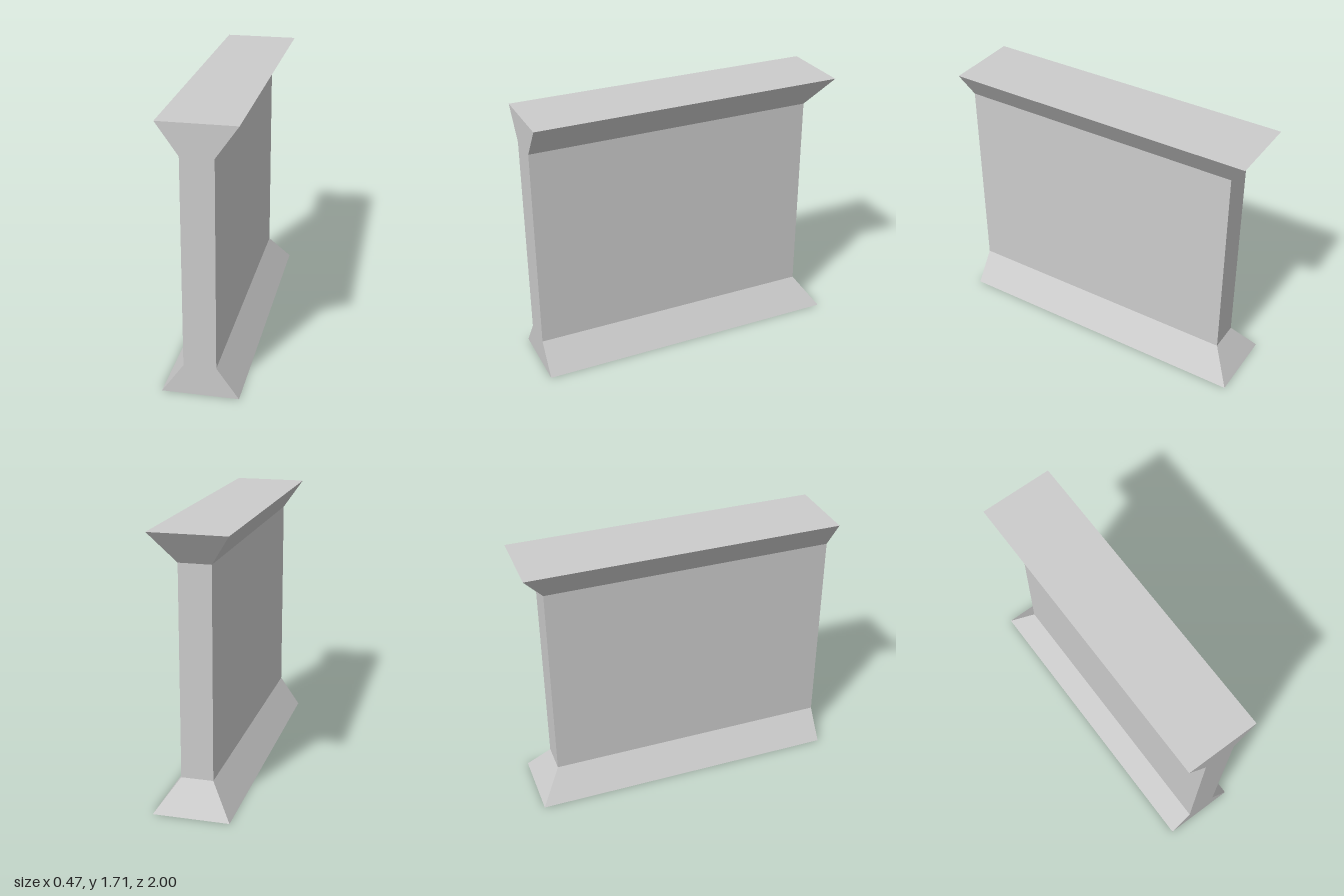
import * as THREE from 'three';

// Horizontal rings from bottom to top: height, half width, back edge z
const RINGS = [
  { y: 0, half: 0.237, back: -1 },
  { y: 0.195, half: 0.1, back: -0.862 },
  { y: 1.515, half: 0.1, back: -0.862 },
  { y: 1.71, half: 0.237, back: -1 },
];
const FRONT = 1;

// A box with three height bands, each ring of corners moved to its outline
function flaredWallGeometry() {
  const box = new THREE.BoxGeometry(1, 1, 1, 1, RINGS.length - 1, 1);
  const pos = box.attributes.position;
  for (let i = 0; i < pos.count; i++) {
    const ring = RINGS[Math.round((pos.getY(i) + 0.5) * (RINGS.length - 1))];
    pos.setXYZ(
      i,
      Math.sign(pos.getX(i)) * ring.half,
      ring.y,
      pos.getZ(i) > 0 ? FRONT : ring.back
    );
  }
  // Separate faces for crisp flat shading
  const flat = box.toNonIndexed();
  flat.computeVertexNormals();
  return flat;
}

export function createModel() {
  const group = new THREE.Group();
  group.name = 'wallSegment';

  // Wall with flared base and cap; the front end is cut flush
  const wall = new THREE.Mesh(
    flaredWallGeometry(),
    new THREE.MeshStandardMaterial({ color: 0xcccccc, flatShading: true })
  );
  wall.name = 'flaredWall';
  group.add(wall);

  return group;
}
